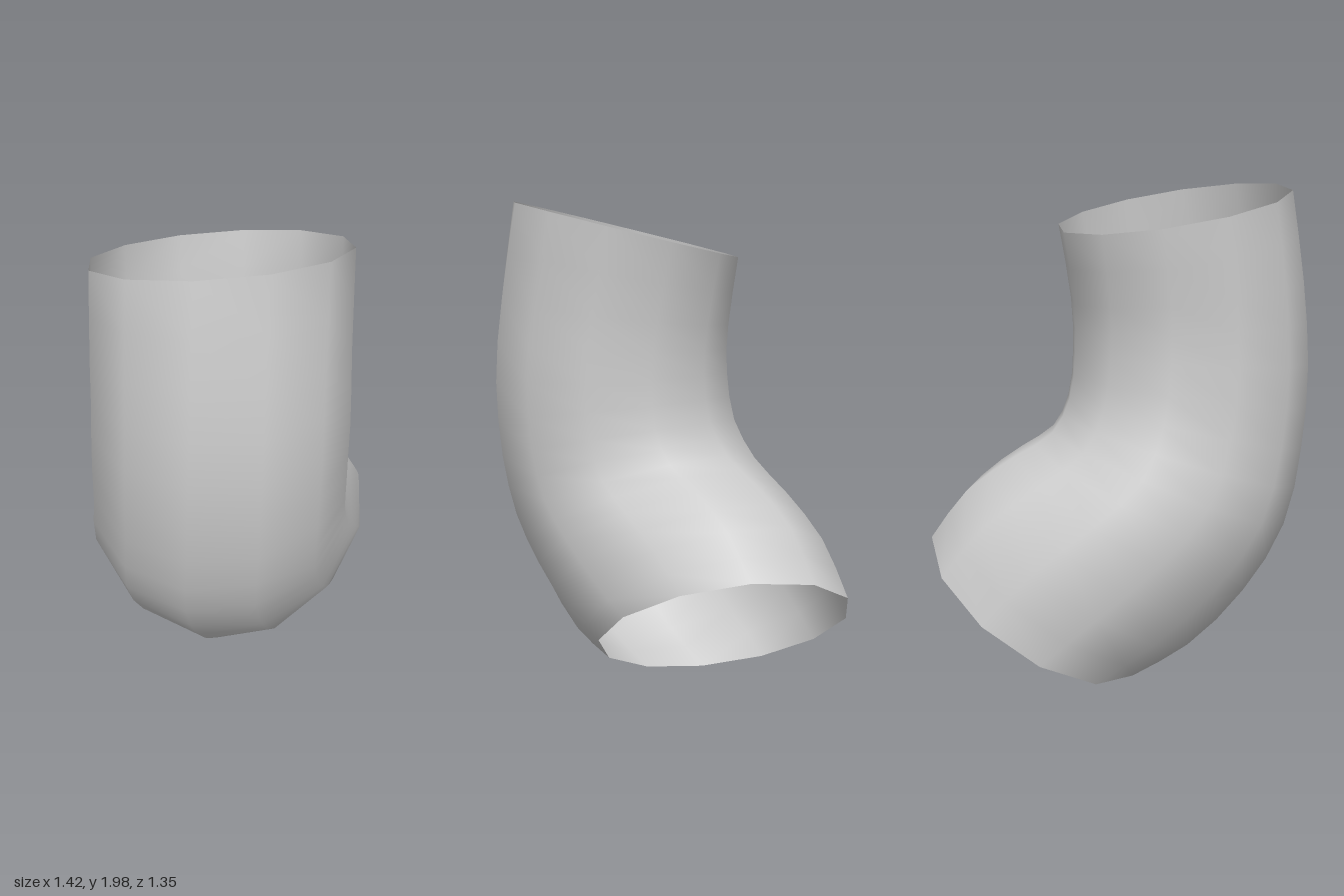
import * as THREE from 'three';

const SIDES = 12;
const STEPS = 14;
const TWIST = THREE.MathUtils.degToRad(-8);

// Bend plane: "along" runs horizontally in it, "across" is its horizontal normal
const along = new THREE.Vector3(0.83, 0, -0.55).normalize();
const across = new THREE.Vector3(0.55, 0, 0.83).normalize();

// Stations from top to bottom:
// inner (s, y), outer (s, y), sideways tilt, half width, sideways offset
const stations = [
  [0.232, 1.785, -0.706, 1.975, 0.14, 0.475, 0.017],
  [0.185, 1.50, -0.77, 1.60, 0.06, 0.48, 0.03],
  [0.18, 1.30, -0.80, 1.25, 0, 0.49, 0.035],
  [0.205, 1.12, -0.77, 0.90, 0, 0.50, 0.02],
  [0.28, 0.99, -0.69, 0.60, 0.05, 0.52, -0.01],
  [0.43, 0.90, -0.53, 0.345, 0.15, 0.525, -0.015],
  [0.62, 0.765, -0.32, 0.14, 0.27, 0.515, 0],
  [0.76, 0.575, -0.11, 0.045, 0.39, 0.50, 0.02],
];

// Smooth curves through the inner and outer edges, and through the ring values
const spline = (f) => new THREE.CatmullRomCurve3(stations.map(f));
const innerEdge = spline(([s, y]) => along.clone().multiplyScalar(s).setY(y));
const outerEdge = spline(([, , s, y]) => along.clone().multiplyScalar(s).setY(y));
const ringValues = spline(([, , , , tilt, width, offset]) => new THREE.Vector3(tilt, width, offset));

function createElbowGeometry() {
  const positions = [];
  const indices = [];
  for (let i = 0; i <= STEPS; i++) {
    const t = i / STEPS;
    const inner = innerEdge.getPoint(t);
    const outer = outerEdge.getPoint(t);
    const { x: tilt, y: width, z: offset } = ringValues.getPoint(t);
    // Ring centre and its two half axes
    const center = inner.clone().add(outer).multiplyScalar(0.5).addScaledVector(across, offset);
    const a = inner.clone().sub(outer).multiplyScalar(0.5);
    const b = across.clone().setY(tilt);
    b.addScaledVector(a, -b.dot(a) / a.lengthSq()).setLength(width);
    for (let j = 0; j < SIDES; j++) {
      const angle = (j / SIDES) * Math.PI * 2 + TWIST * (1 - t);
      const p = center.clone().addScaledVector(a, Math.cos(angle)).addScaledVector(b, Math.sin(angle));
      positions.push(p.x, p.y, p.z);
      if (i < STEPS) {
        const p0 = i * SIDES + j, p1 = i * SIDES + ((j + 1) % SIDES);
        const q0 = p0 + SIDES, q1 = p1 + SIDES;
        indices.push(p0, p1, q0, p1, q1, q0);
      }
    }
  }
  const geometry = new THREE.BufferGeometry();
  geometry.setAttribute('position', new THREE.Float32BufferAttribute(positions, 3));
  geometry.setIndex(indices);
  geometry.computeVertexNormals();
  return geometry;
}

export function createModel() {
  const group = new THREE.Group();
  group.name = 'bentTube';
  // Open-ended thin elbow
  const elbow = new THREE.Mesh(
    createElbowGeometry(),
    new THREE.MeshStandardMaterial({ color: 0xcccccc, side: THREE.DoubleSide })
  );
  elbow.name = 'elbowPipe';
  group.add(elbow);
  return group;
}
